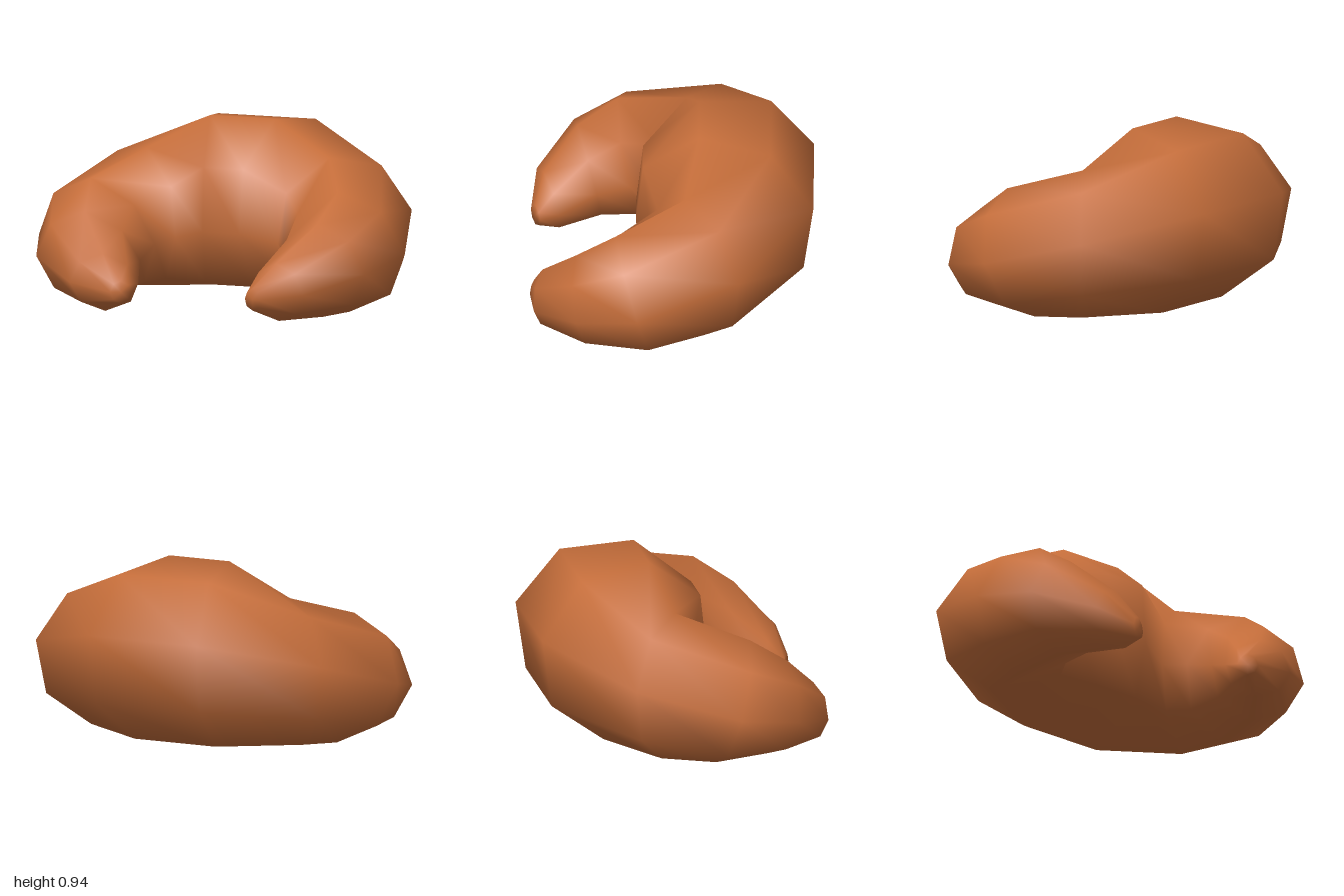
import * as THREE from 'three';

// Cross-section outlines, from the outer edge over the top to the inner edge and back underneath.
// u: 0 outer .. 1 inner, v: 0 bottom .. 1 top
const MIDDLE = [[0, 0.63], [0.24, 0.945], [0.645, 1], [0.96, 0.757], [1, 0.4], [0.88, 0.1], [0.37, 0], [0.055, 0.243]];
const ARM = [[0, 0.5], [0.16, 0.85], [0.5, 1], [0.85, 0.8], [1, 0.48], [0.88, 0.16], [0.5, 0], [0.15, 0.16]];

// Stations from the middle of the body to the tip of one horn
const STATIONS = [
  { outer: [0.32, -0.73], inner: [0.1, 0.185], top: 0.945, bottom: 0.02, lean: 0, arm: 0 },
  { outer: [0.85, -0.35], inner: [0.28, 0.1], top: 0.77, bottom: 0.03, lean: 0, arm: 0.2 },
  { outer: [1, 0.17], inner: [0.35, 0.22], top: 0.655, bottom: 0.005, lean: 0.09, arm: 1 },
  { outer: [0.9, 0.49], inner: [0.37, 0.39], top: 0.515, bottom: 0.02, lean: 0.05, arm: 1 },
  { outer: [0.64, 0.705], inner: [0.31, 0.58], top: 0.33, bottom: 0.025, lean: 0.02, arm: 1 },
  { outer: [0.41, 0.728], inner: [0.31, 0.68], top: 0.2, bottom: 0.085, lean: 0, arm: 1 },
];

function section(s) {
  return MIDDLE.map(([mu, mv], i) => {
    const u = THREE.MathUtils.lerp(mu, ARM[i][0], s.arm);
    const v = THREE.MathUtils.lerp(mv, ARM[i][1], s.arm);
    return new THREE.Vector3(
      THREE.MathUtils.lerp(s.outer[0], s.inner[0], u),
      THREE.MathUtils.lerp(s.bottom, s.top, v),
      THREE.MathUtils.lerp(s.outer[1], s.inner[1], u) + s.lean * (2 * v - 1),
    );
  });
}

// Skin a row of closed sections and close both ends
function loft(rings) {
  const n = rings[0].length;
  const points = rings.flat();
  const index = [];
  for (let i = 0; i < rings.length - 1; i++) {
    for (let j = 0; j < n; j++) {
      const k = (j + 1) % n;
      const a = i * n + j, b = i * n + k, c = a + n, d = b + n;
      index.push(a, c, b, b, c, d);
    }
  }
  const cap = (ring, start, flip) => {
    const centre = ring.reduce((sum, p) => sum.add(p), new THREE.Vector3()).divideScalar(n);
    const m = points.push(centre) - 1;
    for (let j = 0; j < n; j++) {
      const a = start + j, b = start + (j + 1) % n;
      index.push(m, flip ? b : a, flip ? a : b);
    }
  };
  cap(rings[0], 0, false);
  cap(rings[rings.length - 1], (rings.length - 1) * n, true);
  const geometry = new THREE.BufferGeometry().setFromPoints(points);
  geometry.setIndex(index);
  geometry.computeVertexNormals();
  return geometry;
}

export function createModel() {
  const crust = new THREE.MeshStandardMaterial({ color: 0xc46d3a });
  crust.name = 'goldenCrust';

  // Left horn, body and mirrored right horn in one smooth skin
  const half = STATIONS.map(section);
  const mirrored = half.map((ring) => ring.map((p) => new THREE.Vector3(-p.x, p.y, p.z)));
  const body = new THREE.Mesh(loft([...half.reverse(), ...mirrored]), crust);
  body.name = 'croissantBody';

  const model = new THREE.Group();
  model.name = 'croissant';
  model.add(body);
  return model;
}
